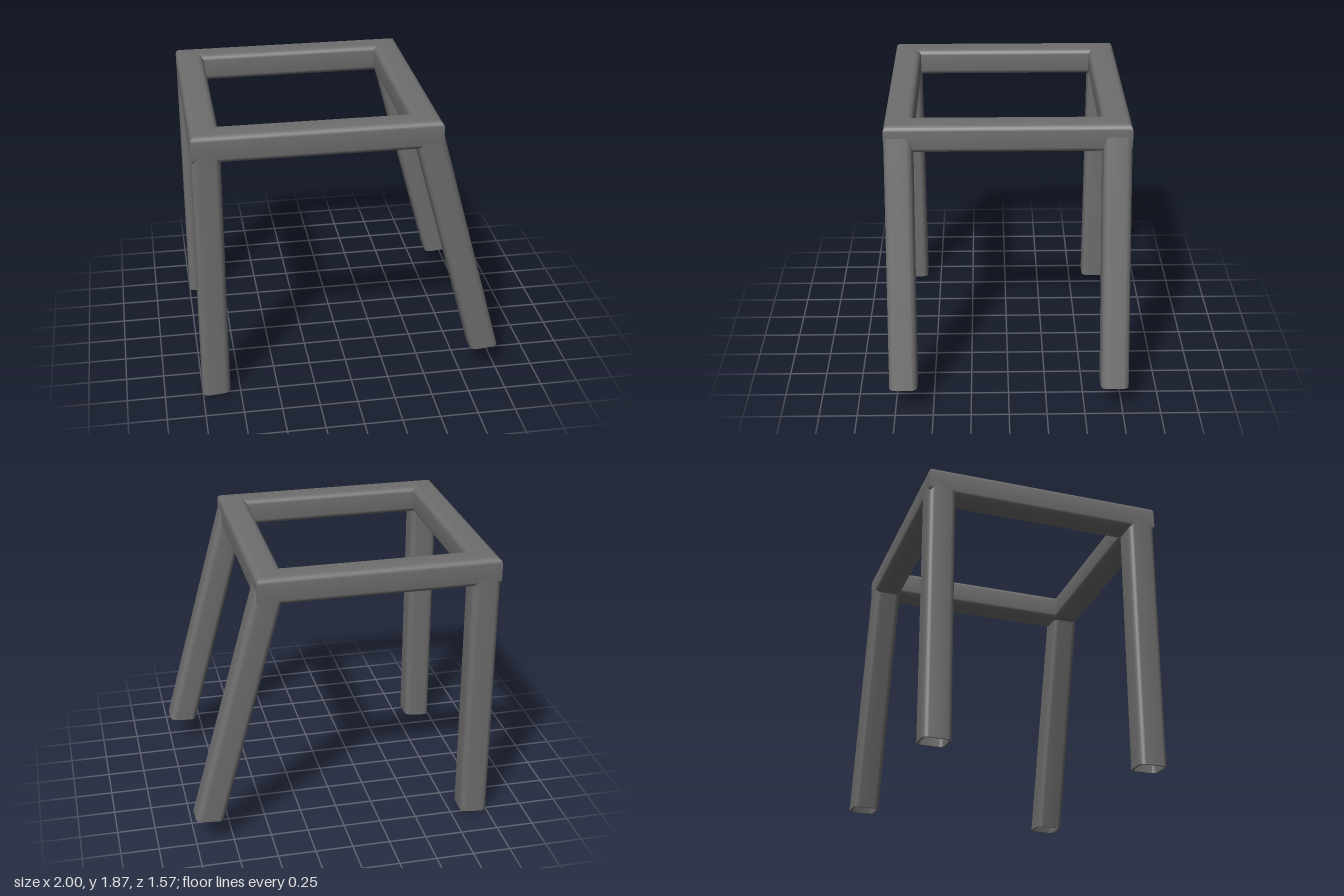
import * as THREE from 'three';
import { toCreasedNormals } from 'three/addons/utils/BufferGeometryUtils.js';

const W = 0.183, R = 0.04, WALL = 0.013;
const LEAN = THREE.MathUtils.degToRad(15);
const FOOT_SLOPE = Math.tan(THREE.MathUtils.degToRad(5));
const material = new THREE.MeshStandardMaterial({ color: 0x6e6e6e });

// rounded square outline of half width h and corner radius r
function outline(target, h, r) {
  const c = h - r;
  [[c, c], [-c, c], [-c, -c], [c, -c]].forEach(([x, y], i) =>
    target.absarc(x, y, r, i * Math.PI / 2, (i + 1) * Math.PI / 2, false));
  target.closePath();
  return target;
}

// upright hollow tube; low(u) and high(u) give the cut heights across its width,
// lean shears it toward -x with height while keeping its true section
function tube(low, high, lean = 0) {
  const section = outline(new THREE.Shape(), W / 2, R);
  section.holes.push(outline(new THREE.Path(), W / 2 - WALL, R - WALL));
  const geo = new THREE.ExtrudeGeometry(section, {
    depth: 1, steps: 1, bevelEnabled: false, curveSegments: 6,
  });
  geo.rotateX(-Math.PI / 2);
  const p = geo.attributes.position;
  for (let i = 0; i < p.count; i++) {
    const u = p.getX(i) / Math.cos(lean);
    const y = p.getY(i) > 0.5 ? high(u) : low(u);
    p.setXY(i, u - Math.tan(lean) * y, y);
  }
  return toCreasedNormals(geo, 0.5);
}

function part(name, geometry, parent) {
  const mesh = new THREE.Mesh(geometry, material);
  mesh.name = name;
  parent.add(mesh);
  return mesh;
}

export function createModel() {
  const model = new THREE.Group();
  model.name = 'tubeStand';

  // square top frame of four mitred rails
  const c = 0.6925;
  const frame = new THREE.Group();
  frame.name = 'topFrame';
  frame.position.set(-0.216, 1.78, 0);
  model.add(frame);
  const rail = tube(u => -(c + u), u => c + u);
  rail.rotateX(Math.PI / 2);
  rail.translate(c, 0, 0);
  ['leftRail', 'backRail', 'rightRail', 'frontRail'].forEach((name, i) => {
    part(name, rail, frame).rotation.y = i * Math.PI / 2;
  });

  // upright and leaning legs, flush with the frame, with slightly sloped feet
  const upright = tube(u => 0.009 + FOOT_SLOPE * u, () => 1.75);
  const leaning = tube(u => 0.185 + FOOT_SLOPE * u, u => 1.765 + 0.3 * u, LEAN);
  for (const [end, s] of [['front', 1], ['back', -1]]) {
    part(end + 'UprightLeg', upright, model).position.set(-0.9085, 0, s * c);
    part(end + 'LeaningLeg', leaning, model).position.set(0.957, 0, s * c);
  }
  return model;
}
